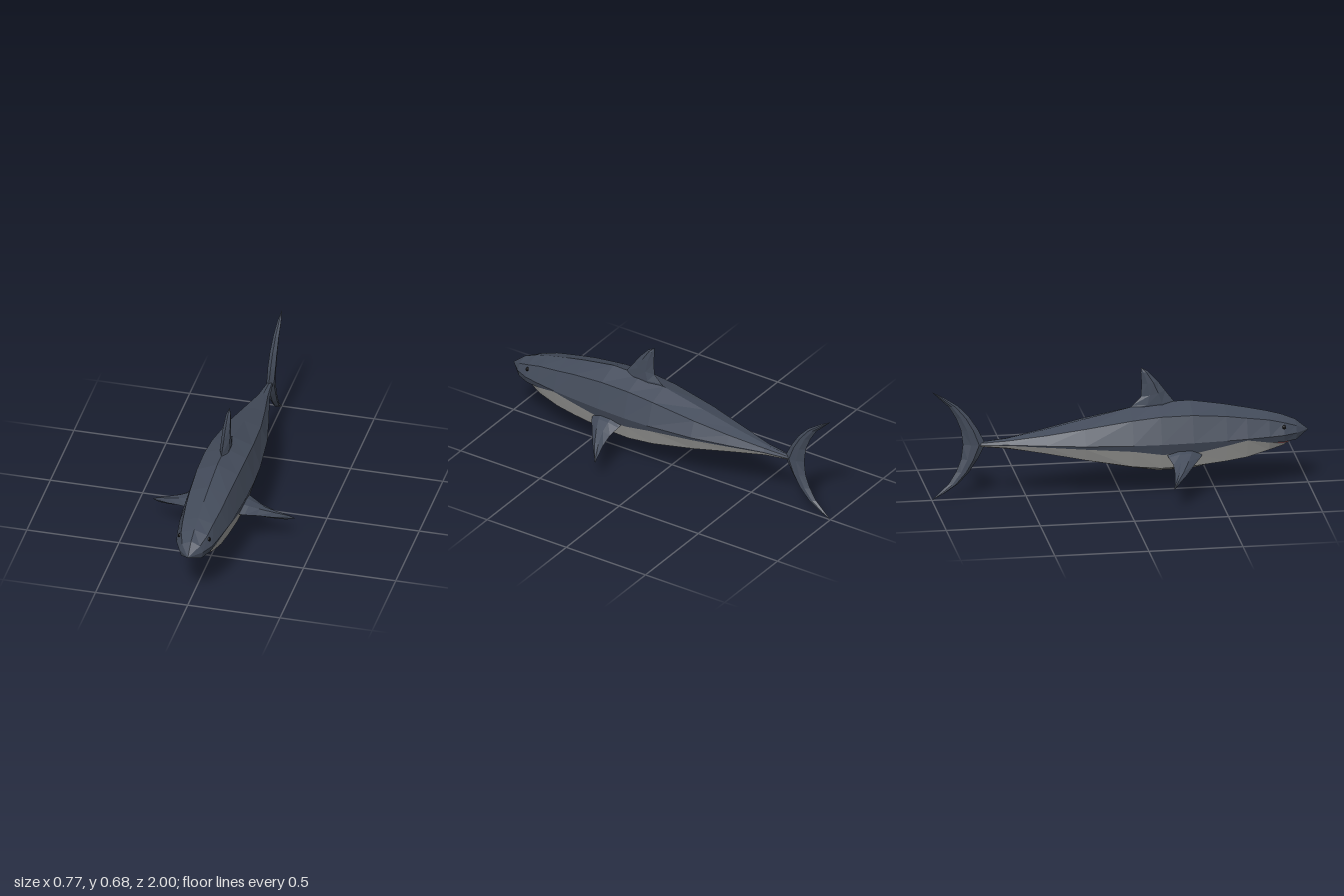
import * as THREE from 'three';

const V = (x, y, z) => new THREE.Vector3(x, y, z);
const paint = (color, side = THREE.FrontSide) =>
  new THREE.MeshStandardMaterial({ color, flatShading: true, side });

// Skin a row of cross-sections, with faces turned away from the middle
function loft(rings, closed) {
  const tris = [];
  const add = (a, b, c) => {
    const n = b.clone().sub(a).cross(c.clone().sub(a));
    if (n.length() > 1e-9) tris.push([a, b, c]);
  };
  const n = rings[0].length;
  for (let i = 0; i < rings.length - 1; i++) {
    for (let j = 0; j < (closed ? n : n - 1); j++) {
      const k = (j + 1) % n, A = rings[i], B = rings[i + 1];
      add(A[j], A[k], B[k]);
      add(A[j], B[k], B[j]);
    }
  }
  const mid = new THREE.Box3().setFromPoints(rings.flat()).getCenter(V(0, 0, 0));
  let volume = 0;
  for (const t of tris) {
    const [a, b, c] = t.map((p) => p.clone().sub(mid));
    volume += a.dot(b.cross(c));
  }
  const points = tris.flatMap(([a, b, c]) => (volume < 0 ? [a, c, b] : [a, b, c]));
  const geometry = new THREE.BufferGeometry().setFromPoints(points);
  geometry.computeVertexNormals();
  return geometry;
}

// Fin from sections [leading point, trailing point, half thickness]
function fin(sections, thickDir) {
  const rings = sections.map(([lead, trail, t]) => {
    const at = (f, s) => lead.clone().lerp(trail, f).addScaledVector(thickDir, s * t);
    return [at(0, 0), at(0.3, 1), at(0.65, 0.85), at(1, 0), at(0.65, -0.85), at(0.3, -1)];
  });
  return loft(rings, true);
}

const mirror = (half) =>
  [...half, ...half.slice(0, -1).reverse().map((p) => V(-p.x, p.y, p.z))];

// Body stations: z, back, ridge, half width, colour line, chine, keel
const STATIONS = [
  [0.93, 0.357, 0.335, 0.066, 0.262, 0.24, 0.235],
  [0.86, 0.387, 0.362, 0.098, 0.259, 0.23, 0.222],
  [0.78, 0.41, 0.385, 0.113, 0.265, 0.22, 0.2],
  [0.66, 0.437, 0.405, 0.131, 0.293, 0.19, 0.172],
  [0.55, 0.46, 0.423, 0.141, 0.27, 0.176, 0.148],
  [0.37, 0.49, 0.44, 0.153, 0.235, 0.16, 0.11],
  [0.2, 0.486, 0.44, 0.157, 0.24, 0.157, 0.11],
  [0.05, 0.465, 0.425, 0.152, 0.265, 0.172, 0.135],
  [-0.2, 0.41, 0.385, 0.125, 0.282, 0.215, 0.19],
  [-0.4, 0.365, 0.35, 0.083, 0.29, 0.25, 0.233],
  [-0.6, 0.327, 0.32, 0.035, 0.296, 0.28, 0.27],
  [-0.77, 0.312, 0.308, 0.012, 0.299, 0.295, 0.29],
];

function station([z, top, ridge, w, split, chine, keel]) {
  const side = V(w, 0.3, z), low = V(w * 0.73, chine, z);
  const edge = side.clone().lerp(low, (0.3 - split) / (0.3 - chine));
  return {
    upper: mirror([edge, side, V(w * 0.73, ridge, z), V(0, top, z)]),
    lower: mirror([edge, low, V(0, keel, z)]),
  };
}

export function createModel() {
  const model = new THREE.Group();
  const skin = paint(0x434b5a);
  const belly = paint(0x989896);
  const add = (name, geometry, material, parent = model) => {
    const mesh = new THREE.Mesh(geometry, material);
    mesh.name = name;
    parent.add(mesh);
    return mesh;
  };

  // Dark back and snout
  const body = STATIONS.map(station);
  const nose = Array(7).fill(V(0, 0.298, 1));
  const upper = [nose, ...body.map((s) => s.upper)];
  add('upperBody', loft(upper, false), skin);

  // Pale belly with the lower jaw at its front
  const jawTip = Array(5).fill(V(0, 0.235, 0.9));
  const jaw = mirror([V(0.054, 0.246, 0.86), V(0.044, 0.23, 0.86), V(0, 0.221, 0.86)]);
  const lower = [jawTip, jaw, ...body.slice(2).map((s) => s.lower)];
  add('belly', loft(lower, false), belly);

  // Inside of the mouth
  const span = (rings) => loft(rings.map((r) => [r[0], r[r.length - 1]]), false);
  add('snoutUnderside', span(upper.slice(0, 4)), paint(0x343a46, THREE.DoubleSide));
  add('mouthFloor', span(lower.slice(0, 3)), paint(0xb5434a, THREE.DoubleSide));

  // Eyes
  for (const s of [1, -1]) {
    const eye = add(s > 0 ? 'leftEye' : 'rightEye', new THREE.SphereGeometry(0.011, 8, 6), paint(0x0c0c0e));
    eye.scale.set(0.6, 1, 1);
    eye.position.set(s * 0.081, 0.34, 0.86);
    eye.rotation.set(0, s * -0.35, s * 0.35);
  }

  // Dorsal fin
  add('dorsalFin', fin([
    [V(0, 0.46, 0.31), V(0, 0.45, 0.04), 0.02],
    [V(0, 0.49, 0.285), V(0, 0.475, 0.065), 0.024],
    [V(0, 0.55, 0.24), V(0, 0.52, 0.11), 0.022],
    [V(0, 0.605, 0.2), V(0, 0.59, 0.115), 0.019],
    [V(0, 0.66, 0.15), V(0, 0.655, 0.11), 0.012],
    [V(0, 0.682, 0.112), V(0, 0.682, 0.112), 0],
  ], V(1, 0, 0)), skin);

  // Crescent tail, both lobes in one sweep: height from middle, lead z, trail z, thickness
  const lobe = [
    [0.3, -1, -1, 0],
    [0.265, -0.935, -0.965, 0.01],
    [0.215, -0.86, -0.912, 0.015],
    [0.15, -0.8, -0.872, 0.019],
    [0.08, -0.755, -0.845, 0.021],
  ];
  const tailSection = (s) => ([h, a, b, t]) => [V(0, 0.303 + s * h, a), V(0, 0.303 + s * h, b), t];
  add('tailFin', fin([
    ...lobe.map(tailSection(1)),
    [V(0, 0.303, -0.715), V(0, 0.303, -0.835), 0.02],
    ...lobe.map(tailSection(-1)).reverse(),
  ], V(1, 0, 0)), skin);

  // Pectoral fins
  for (const s of [1, -1]) {
    add(s > 0 ? 'leftPectoralFin' : 'rightPectoralFin', fin([
      [V(s * 0.1, 0.235, 0.43), V(s * 0.1, 0.255, 0.22), 0.026],
      [V(s * 0.155, 0.22, 0.405), V(s * 0.155, 0.228, 0.235), 0.026],
      [V(s * 0.21, 0.2, 0.365), V(s * 0.21, 0.203, 0.252), 0.023],
      [V(s * 0.28, 0.17, 0.315), V(s * 0.28, 0.173, 0.25), 0.02],
      [V(s * 0.35, 0.14, 0.258), V(s * 0.35, 0.142, 0.238), 0.014],
      [V(s * 0.385, 0.128, 0.23), V(s * 0.385, 0.128, 0.23), 0],
    ], V(s * 0.4, 0.917, 0)), skin);
  }
  return model;
}
